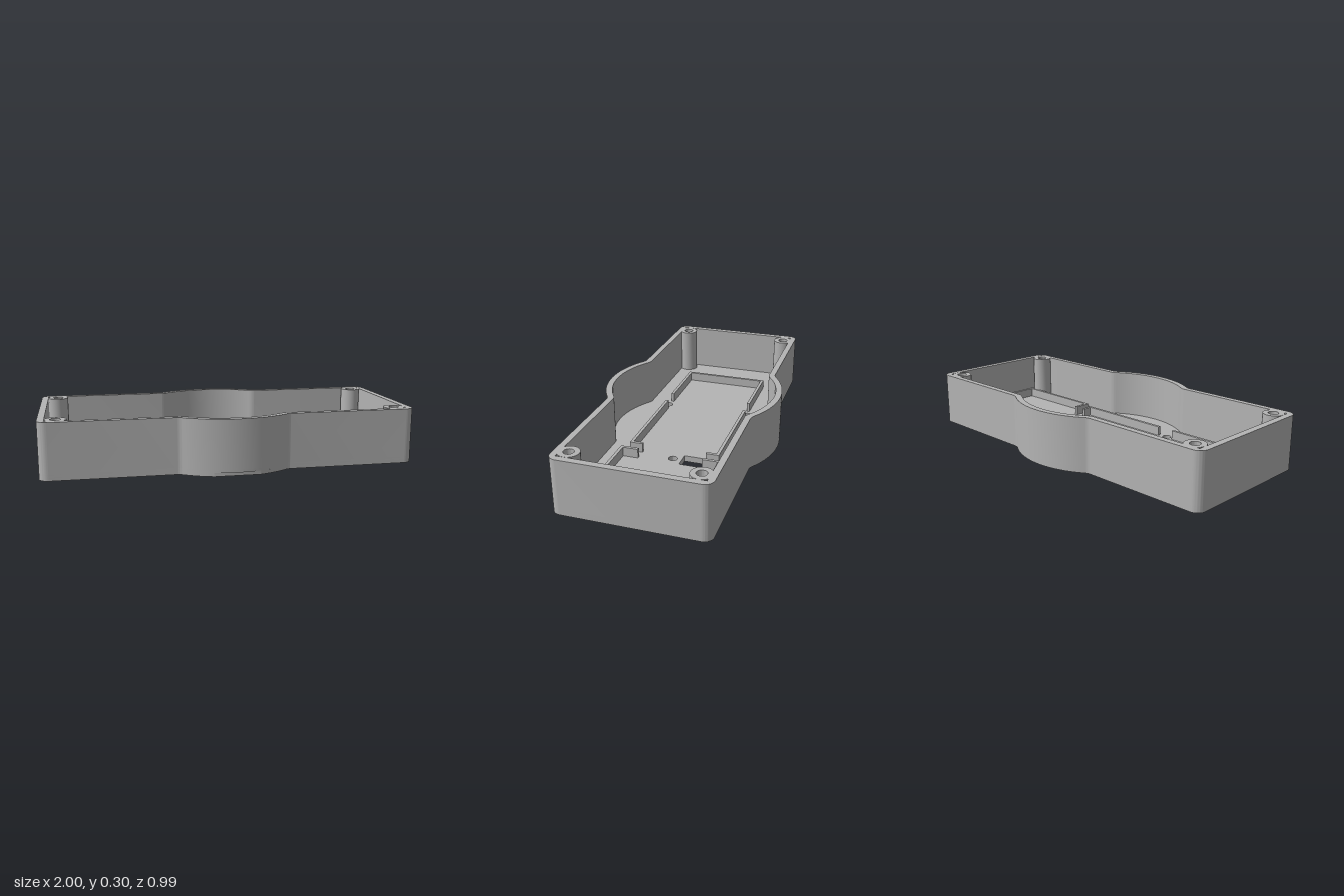
import * as THREE from 'three';
import { toCreasedNormals } from 'three/addons/utils/BufferGeometryUtils.js';

const HEIGHT = 0.3, FLOOR = 0.034, NOTCH = 0.02, RIB_TOP = 0.086, RIB = 0.017;

// Rounded box outline with a round bulge at the middle of both long sides.
// Shape y is -z. "chord" cuts the front bulge flat over x = -chord..chord.
function outline(hx, hz, r, corner, chord = 0) {
  const s = new THREE.Shape();
  const xe = Math.sqrt(r * r - hz * hz), f = 0.018;
  const t = Math.asin((xe - f) / r);
  const cx = Math.sin(t) * r, cy = Math.cos(t) * r;
  const turn = (x, y, a) => {
    if (corner) s.absarc(x - Math.sign(x) * corner, y - Math.sign(y) * corner, corner, a, a + Math.PI / 2);
    else s.lineTo(x, y);
  };
  s.moveTo(-hx + corner, -hz);
  for (const k of [-1, 1]) { // front side, then back side
    const mid = k * Math.PI / 2;
    s.lineTo(k * (xe + f), k * hz);
    s.quadraticCurveTo(k * xe, k * hz, k * cx, k * cy);
    if (k < 0 && chord) {
      const n = Math.asin(chord / r);
      s.absarc(0, 0, r, mid - t, mid - n);
      s.absarc(0, 0, r, mid + n, mid + t);
    } else s.absarc(0, 0, r, mid - t, mid + t);
    s.quadraticCurveTo(-k * xe, k * hz, -k * (xe + f), k * hz);
    turn(-k * hx, k * hz, k < 0 ? -Math.PI / 2 : Math.PI / 2);
    turn(-k * hx, -k * hz, k < 0 ? 0 : Math.PI);
  }
  s.closePath();
  return s;
}

const circle = (x, z, r) => new THREE.Shape().absarc(x, -z, r, 0, Math.PI * 2);

export function createModel() {
  const group = new THREE.Group();
  const grey = new THREE.MeshStandardMaterial({ color: 0xb4b4b4 });
  grey.name = 'plain grey';

  const add = (name, geometry) => {
    const mesh = new THREE.Mesh(geometry, grey);
    mesh.name = name;
    group.add(mesh);
  };
  const slab = (name, shape, y0, y1) => {
    const g = new THREE.ExtrudeGeometry(shape, { depth: y1 - y0, bevelEnabled: false, curveSegments: 14 });
    g.rotateX(-Math.PI / 2).translate(0, y0, 0);
    add(name, toCreasedNormals(g, 0.5));
  };
  const rib = (name, x0, x1, z0, z1) => {
    const g = new THREE.BoxGeometry(x1 - x0, RIB_TOP - FLOOR + 0.01, z1 - z0);
    add(name, g.translate((x0 + x1) / 2, (RIB_TOP + FLOOR - 0.01) / 2, (z0 + z1) / 2));
  };

  const posts = [];
  for (const x of [-0.908, 0.908]) for (const z of [-0.327, 0.327]) posts.push([x, z]);

  // Floor in two layers, the lower one notched at the front
  const pierce = (shape) => {
    for (const [x, z] of posts) shape.holes.push(circle(x, z, 0.027));
    for (const [x, z] of [[-0.27, -0.252], [-0.27, 0.252], [0.374, 0]]) shape.holes.push(circle(x, z, 0.024));
    const w = new THREE.Path();
    w.moveTo(0.327, 0.05).lineTo(0.422, 0.05).lineTo(0.422, 0.178).lineTo(0.327, 0.178).closePath();
    shape.holes.push(w);
    return shape;
  };
  slab('notchedFloor', pierce(outline(1, 0.402, 0.495, 0.05, 0.12)), 0, NOTCH);
  slab('floor', pierce(outline(1, 0.402, 0.495, 0.05)), NOTCH, FLOOR);

  // Outer wall
  const wall = outline(1, 0.402, 0.495, 0.05);
  wall.holes.push(outline(0.964, 0.368, 0.46, 0));
  slab('wall', wall, FLOOR, HEIGHT);

  // Hollow screw posts in the corners
  for (const [x, z] of posts) {
    const ring = circle(x, z, 0.056);
    ring.holes.push(circle(x, z, 0.027));
    slab('screwPost', ring, FLOOR, HEIGHT);
  }

  // Low ribs framing the two compartments
  const span = (x0, x1, za, zb, s) => [x0, x1, Math.min(s * za, s * zb), Math.max(s * za, s * zb)];
  for (const s of [-1, 1]) {
    rib('largeFrameRib', ...span(-0.7, -0.32, 0.252 - RIB, 0.252, s));
    rib('largeFrameRib', ...span(-0.22, 0.359, 0.252 - RIB, 0.252, s));
    rib('largeFrameStub', ...span(0.359 - RIB, 0.359, 0.18, 0.252 - RIB, s));
    rib('smallFrameRib', ...span(0.41, 0.97, 0.282 - RIB, 0.282, s));
    rib('smallFrameStub', ...span(0.41, 0.41 + RIB, 0.18, 0.282 - RIB, s));
  }
  rib('largeFrameEnd', -0.7, -0.7 + RIB, -0.252 + RIB, 0.252 - RIB);
  rib('smallFrameEnd', 0.953, 0.97, -0.282 + RIB, 0.282 - RIB);

  return group;
}
